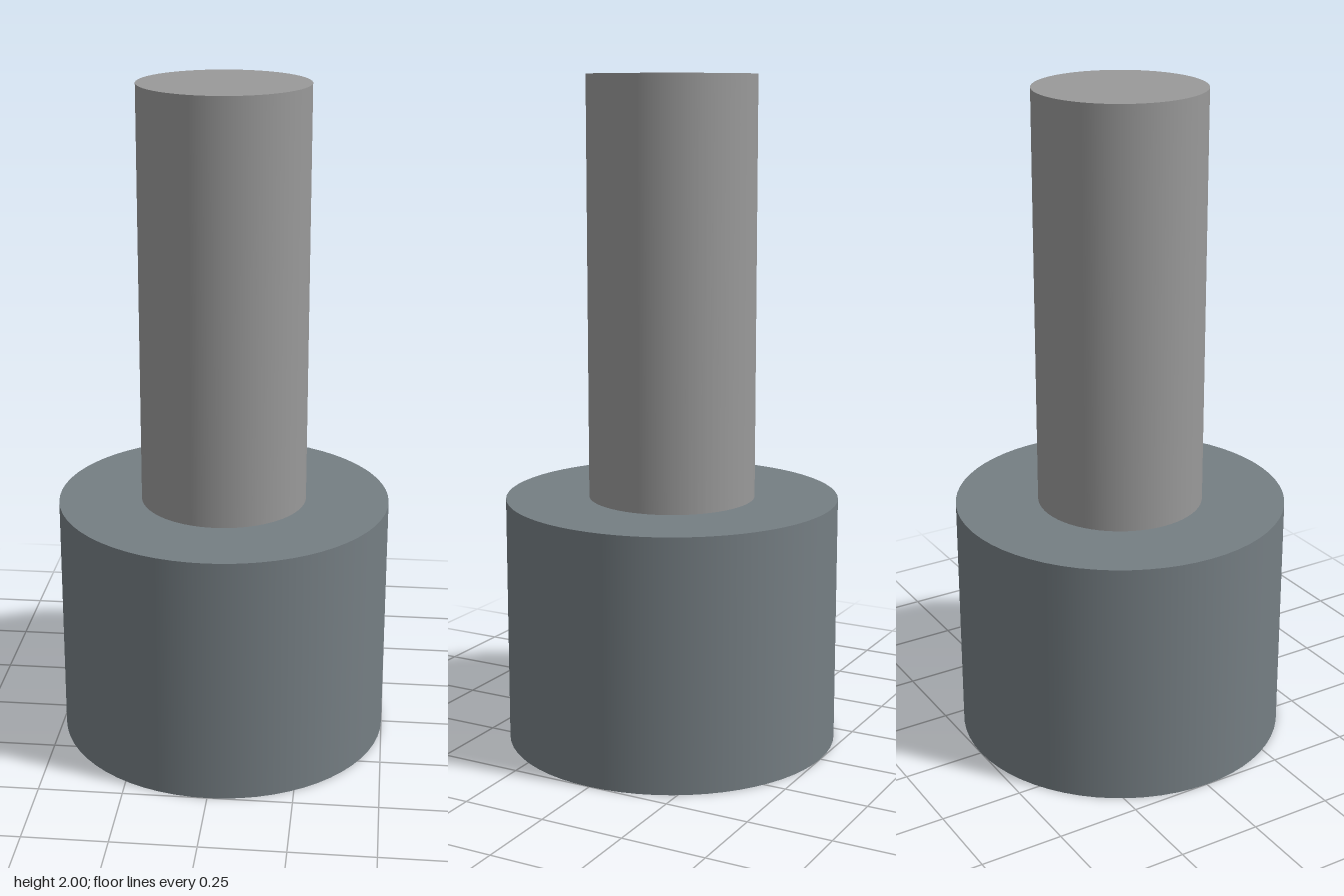
import * as THREE from 'three';

// Upright cylinder spanning bottom..top
function cylinder(name, radius, bottom, top, color) {
  const height = top - bottom;
  const mesh = new THREE.Mesh(
    new THREE.CylinderGeometry(radius, radius, height, 64),
    new THREE.MeshStandardMaterial({ color })
  );
  mesh.name = name;
  mesh.position.y = bottom + height / 2;
  return mesh;
}

export function createModel() {
  const group = new THREE.Group();
  group.name = 'steppedPin';

  // Wide base
  group.add(cylinder('base', 0.5, 0, 0.75, 0x757e83));

  // Narrow shaft, running down inside the base and stopping just above its underside
  group.add(cylinder('shaft', 0.25, 0.01, 2, 0x999999));

  return group;
}
